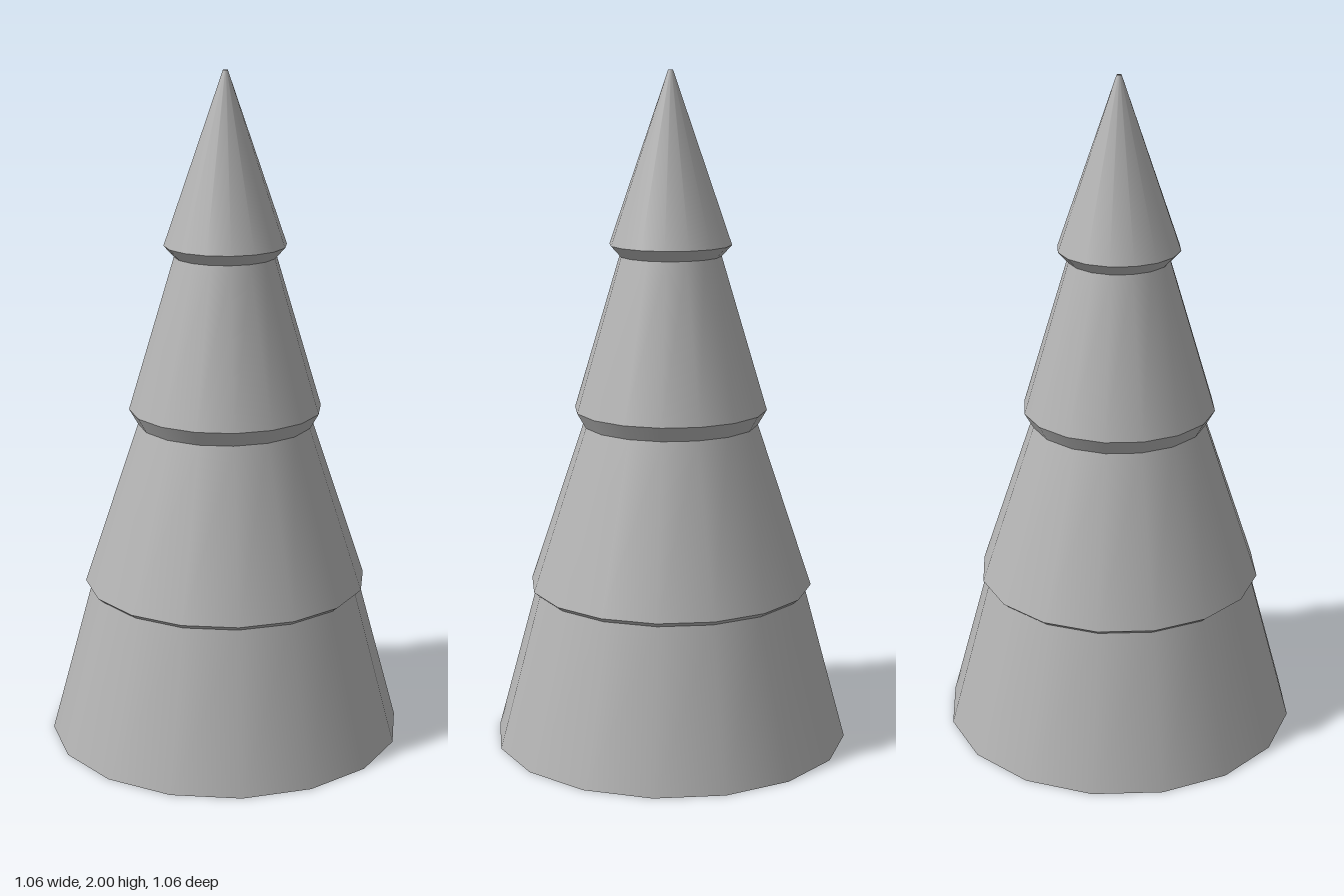
import * as THREE from 'three';

const SIDES = 16;
const TWIST = 0.078; // small turn of the sixteen-sided rings about the trunk axis

export function createModel() {
  const tree = new THREE.Group();
  tree.name = 'tieredTree';
  const grey = new THREE.MeshStandardMaterial({ color: 0xb3b3b3, side: THREE.DoubleSide });
  grey.name = 'grey';

  // Rings from the open base to the tip: [radius, height]
  const rings = [
    [0.531, 0], [0.406, 0.463],
    [0.423, 0.477], [0.26, 0.965],
    [0.286, 1.01], [0.15, 1.465],
    [0.18, 1.498], [0.007, 2],
  ];

  // Each band is its own open cone, so it is smooth around and sharp at its rims
  for (let i = 0; i < rings.length - 1; i++) {
    const [r0, y0] = rings[i];
    const [r1, y1] = rings[i + 1];
    const band = new THREE.Mesh(
      new THREE.CylinderGeometry(r1, r0, y1 - y0, SIDES, 1, true), grey);
    band.name = (i % 2 ? 'underside' : 'tier') + (Math.floor(i / 2) + 1);
    band.position.y = (y0 + y1) / 2;
    band.rotation.y = TWIST;
    tree.add(band);
  }
  return tree;
}
